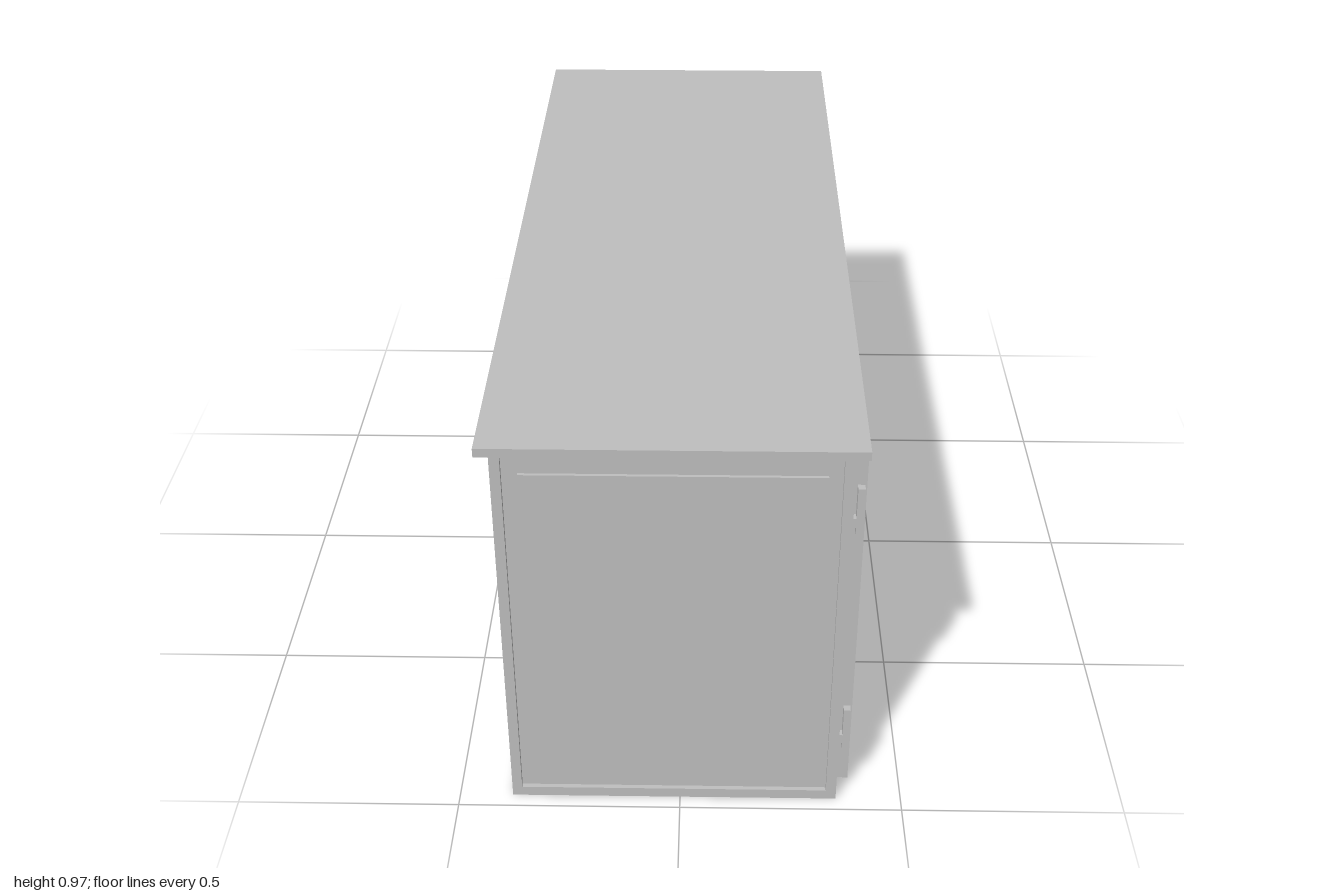
import * as THREE from 'three';

const paint = new THREE.MeshStandardMaterial({ color: 0xbfbfbf });
paint.name = 'grey paint';

// Traces a rectangle given by its edges.
function rect(path, x0, y0, x1, y1) {
  path.moveTo(x0, y0);
  path.lineTo(x1, y0);
  path.lineTo(x1, y1);
  path.lineTo(x0, y1);
  path.closePath();
  return path;
}

// Flat plate with rectangular holes, facing +z, from z = back to z = front.
function plate(name, outer, holes, back, front) {
  const shape = rect(new THREE.Shape(), ...outer);
  holes.forEach(h => shape.holes.push(rect(new THREE.Path(), ...h)));
  const geometry = new THREE.ExtrudeGeometry(shape, { depth: front - back, bevelEnabled: false });
  geometry.translate(0, 0, back);
  return named(name, geometry);
}

function named(name, geometry) {
  const mesh = new THREE.Mesh(geometry, paint);
  mesh.name = name;
  return mesh;
}

function box(name, x0, x1, y0, y1, z0, z1) {
  const geometry = new THREE.BoxGeometry(x1 - x0, y1 - y0, z1 - z0);
  geometry.translate((x0 + x1) / 2, (y0 + y1) / 2, (z0 + z1) / 2);
  return named(name, geometry);
}

// End of the cabinet: a thin border round a raised field.
function makeEnd(name, mirror) {
  const end = new THREE.Group();
  end.name = name;
  const s = mirror;
  const span = (x0, y0, x1, y1) => s > 0 ? [x0, y0, x1, y1] : [-x1, y0, -x0, y1];
  end.add(
    plate('endBorder', span(-0.38, 0, 0.353, 0.952), [span(-0.358, 0.025, 0.33, 0.928)], 0.957, 0.967),
    plate('endField', span(-0.325, 0.067, 0.3, 0.885), [], 0.957, 0.964)
  );
  if (s < 0) end.rotation.y = Math.PI;
  return end;
}

// Door in its own plane: facing +z, stretching along x from the middle stile.
function makeDoor(name, side) {
  const door = new THREE.Group();
  door.name = name;
  const span = (a, y0, b, y1) => side > 0 ? [a, y0, b, y1] : [-b, y0, -a, y1];
  door.add(
    plate('doorFrame', span(0.03, 0.056, 0.896, 0.9), [span(0.147, 0.168, 0.742, 0.788)], 0.353, 0.38),
    plate('panelMoulding', span(0.153, 0.174, 0.736, 0.782), [span(0.162, 0.183, 0.727, 0.773)], 0.353, 0.377),
    plate('doorPanel', span(0.168, 0.189, 0.721, 0.767), [], 0.353, 0.374)
  );

  // Oval backplate and turned knob
  const oval = new THREE.CylinderGeometry(1, 1, 0.003, 32);
  oval.rotateX(Math.PI / 2);
  oval.scale(0.03, 0.068, 1);
  oval.translate(side * 0.085, 0.53, 0.381);
  const profile = [[0.012, 0], [0.008, 0.004], [0.007, 0.008], [0.016, 0.011], [0.02, 0.015],
    [0.017, 0.02], [0.009, 0.023], [0, 0.024]].map(p => new THREE.Vector2(...p));
  const knob = new THREE.LatheGeometry(profile, 24);
  knob.rotateX(Math.PI / 2);
  knob.translate(side * 0.085, 0.531, 0.381);
  door.add(named('knobBackplate', oval), named('knob', knob));

  // Hinges: upright barrel leaf with a short arm to the door frame
  for (const y of [0.203, 0.797]) {
    const a = side * 0.943, b = side * 0.96, c = side * 0.925;
    door.add(
      box('hingeLeaf', Math.min(a, b), Math.max(a, b), y - 0.058, y + 0.058, 0.36, 0.375),
      box('hingeArm', Math.min(a, c), Math.max(a, c), y - 0.015, y + 0.035, 0.362, 0.373),
      box('hingeMount', Math.min(a, b), Math.max(a, b), y - 0.038, y - 0.015, 0.353, 0.36)
    );
  }
  return door;
}

export function createModel() {
  const cabinet = new THREE.Group();
  cabinet.name = 'cabinet';

  // Carcass and overhanging top
  cabinet.add(
    box('carcass', -0.38, 0.353, 0, 0.952, -0.957, 0.957),
    box('topBoard', -0.405, 0.378, 0.952, 0.972, -1, 1),
    makeEnd('leftEnd', 1),
    makeEnd('rightEnd', -1)
  );

  // Raised face frame with two doors, turned to face +x
  const face = new THREE.Group();
  face.name = 'doorSide';
  face.add(
    plate('faceFrame', [-0.927, 0.027, 0.927, 0.927],
      [[0.023, 0.048, 0.904, 0.908], [-0.904, 0.048, -0.023, 0.908]], 0.353, 0.381),
    makeDoor('frontDoor', -1),
    makeDoor('backDoor', 1)
  );
  face.rotation.y = Math.PI / 2;
  cabinet.add(face);
  return cabinet;
}
